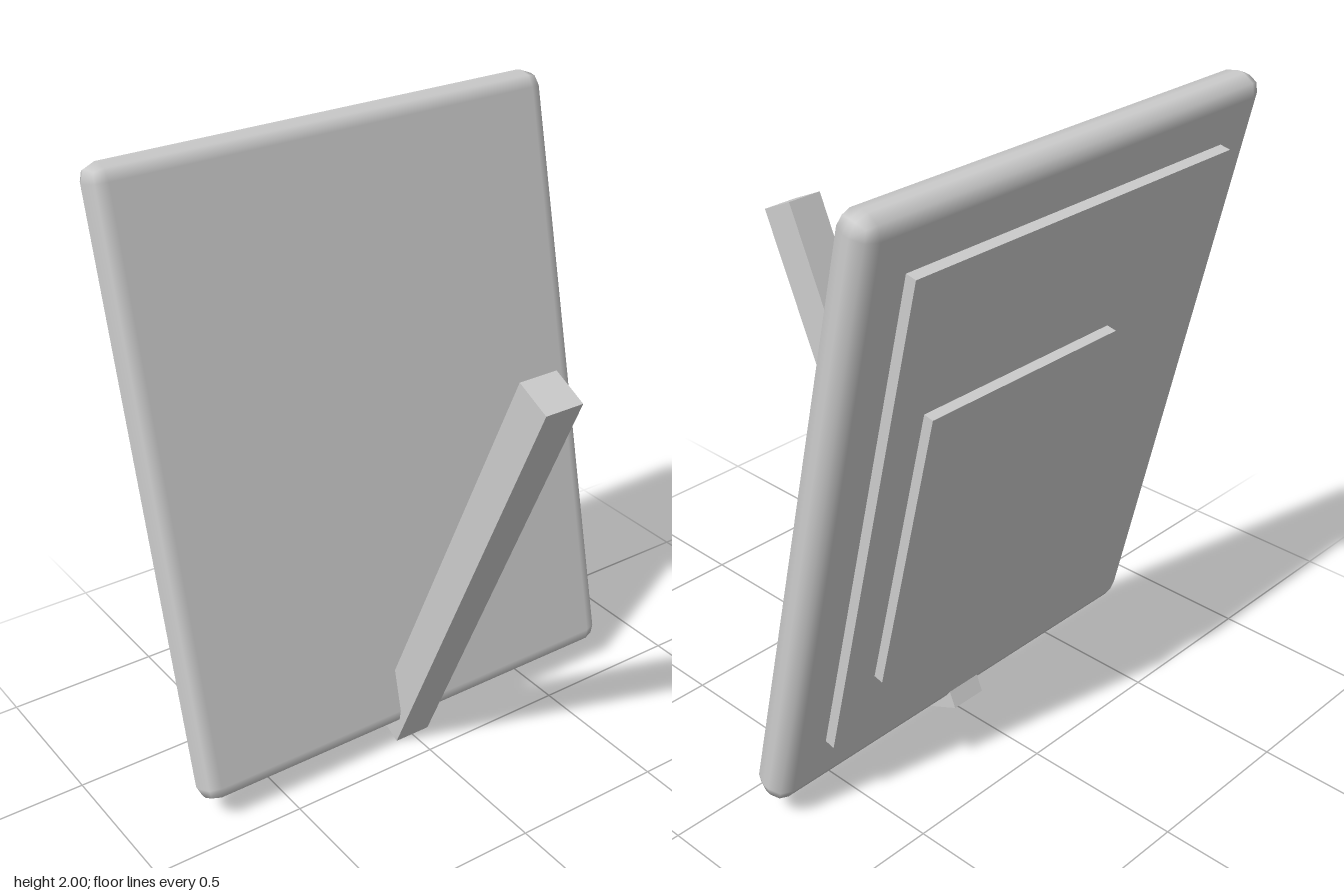
import * as THREE from 'three';
import { RoundedBoxGeometry } from 'three/addons/geometries/RoundedBoxGeometry.js';

export function createModel() {
  const group = new THREE.Group();
  const grey = new THREE.MeshStandardMaterial({ color: 0xcccccc });
  grey.name = 'light grey';

  const add = (parent, name, geometry, x, y, z) => {
    const mesh = new THREE.Mesh(geometry, grey);
    mesh.name = name;
    mesh.position.set(x, y, z);
    parent.add(mesh);
    return mesh;
  };

  // Leaning frame: board with two plates on its back
  const frame = new THREE.Group();
  frame.name = 'frame';
  frame.position.set(0, 1.0375, -0.329);
  frame.rotation.x = THREE.MathUtils.degToRad(-12);
  group.add(frame);

  add(frame, 'board', new RoundedBoxGeometry(1.554, 1.965, 0.124, 1, 0.052), 0, 0, 0);
  add(frame, 'backPanel', new THREE.BoxGeometry(1.24, 1.6, 0.041), 0, 0.012, -0.075);
  add(frame, 'smallPlate', new THREE.BoxGeometry(0.724, 0.93, 0.031), 0.155, -0.08, -0.127);

  // Support leg tilting the other way
  const leg = add(group, 'supportLeg', new THREE.BoxGeometry(0.124, 1.654, 0.124), 0, 0.777, 0.193);
  leg.rotation.x = THREE.MathUtils.degToRad(25);

  return group;
}
